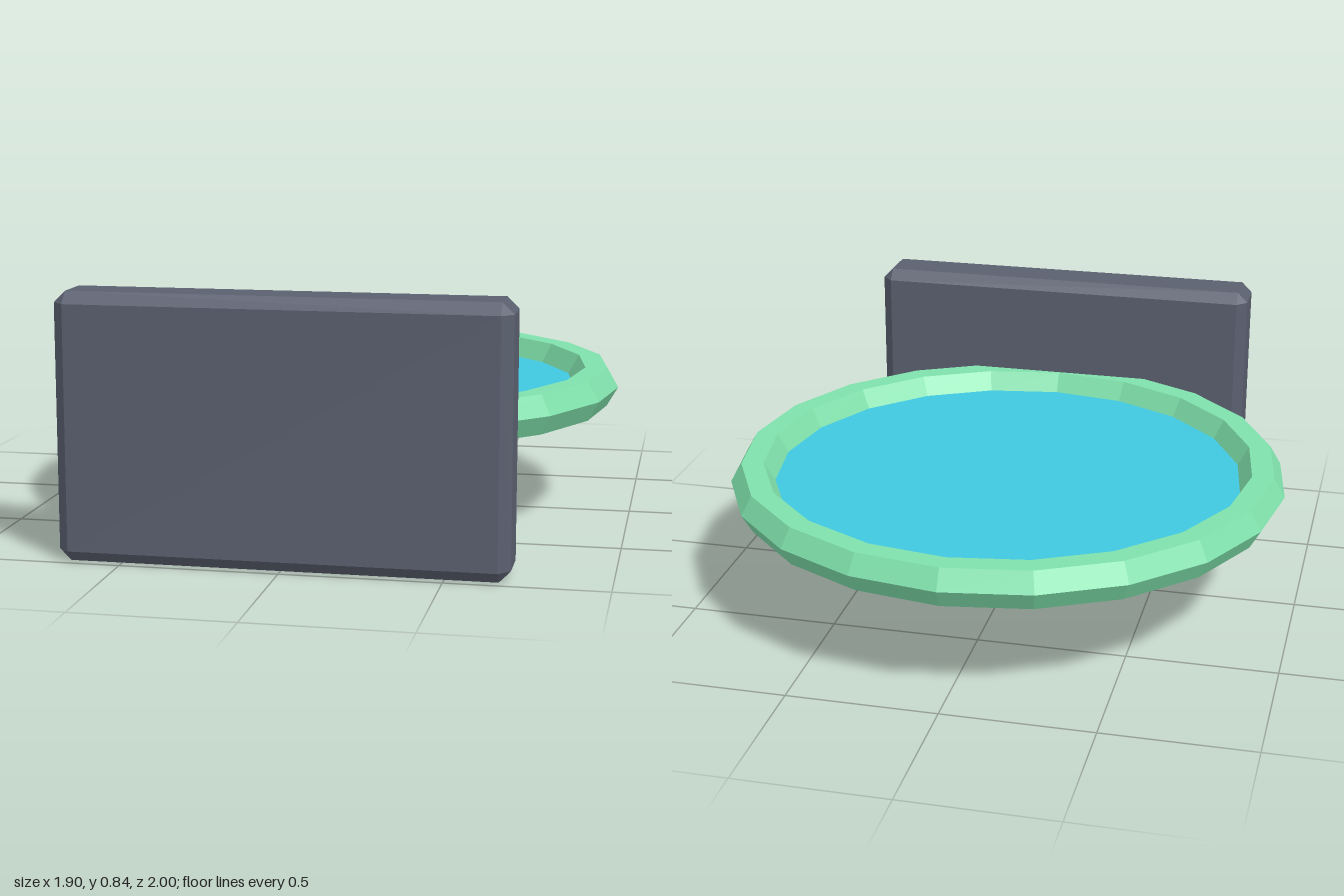
import * as THREE from 'three';
import { ConvexGeometry } from 'three/addons/geometries/ConvexGeometry.js';

const MID_Y = 0.42, RING_Z = -0.05, SIDES = 20;

const flat = (color, side = THREE.FrontSide) =>
  new THREE.MeshStandardMaterial({ color, flatShading: true, side });

// Box with every edge and corner chamfered by b
function chamferedBox(w, h, d, b) {
  const half = [w / 2, h / 2, d / 2], points = [];
  for (const sx of [-1, 1]) for (const sy of [-1, 1]) for (const sz of [-1, 1])
    for (let axis = 0; axis < 3; axis++) {
      const [x, y, z] = half.map((v, i) => (i === axis ? v : v - b));
      points.push(new THREE.Vector3(sx * x, sy * y, sz * z));
    }
  return new ConvexGeometry(points);
}

export function createModel() {
  const model = new THREE.Group();
  const add = (name, geometry, material, y, z) => {
    const mesh = new THREE.Mesh(geometry, material);
    mesh.name = name;
    mesh.position.set(0, y, z);
    model.add(mesh);
  };

  // Upright panel at the front
  add('frontPanel', chamferedBox(1.4, 0.84, 0.205, 0.036), flat(0x5b6070), MID_Y, 0.8975);

  // Flat-lying hexagonal-section ring
  const ring = new THREE.TorusGeometry(0.875, 0.075, 6, SIDES).rotateX(-Math.PI / 2);
  add('ring', ring, flat(0x7fe0ab), MID_Y, RING_Z);

  // Thin disc filling the ring at mid height
  const disc = new THREE.CircleGeometry(0.805, SIDES).rotateX(-Math.PI / 2);
  add('disc', disc, flat(0x40c8e0, THREE.DoubleSide), MID_Y, RING_Z);

  return model;
}
